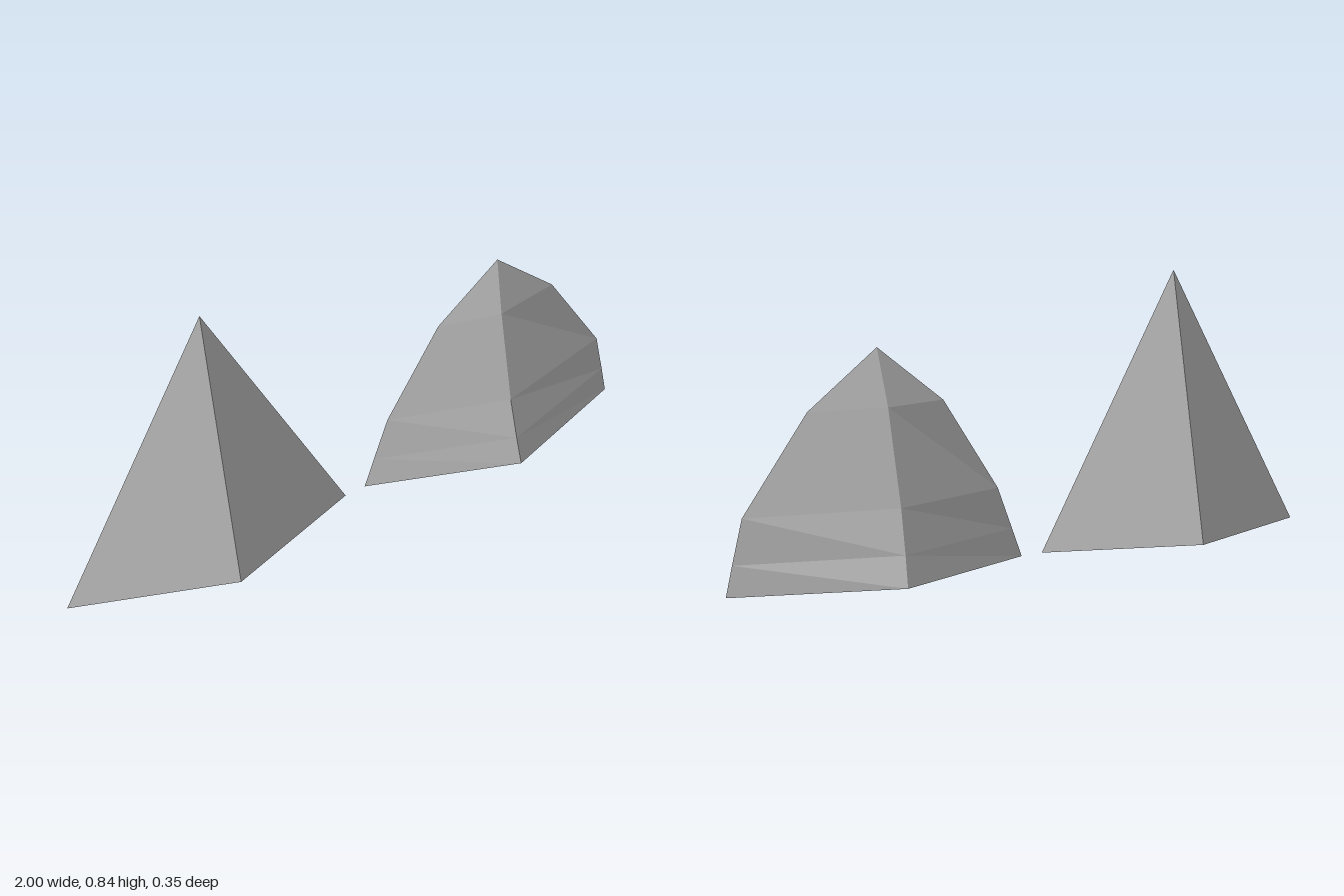
import * as THREE from 'three';

// Lofts four-cornered rings up to an apex.
// Each ring: [y, leftX, rightX, ridgeX, frontZ, backZ, sideZ]
function spire(name, rings, apex) {
  const loops = rings.map(([y, l, r, m, f, b, s]) => [
    [r, y, s], [m, y, f], [l, y, s], [m, y, b],
  ]);
  const pos = [];
  const tri = (a, b, c) => pos.push(...a, ...b, ...c);

  loops.forEach((low, k) => {
    const high = loops[k + 1];
    for (let i = 0; i < 4; i++) {
      const j = (i + 1) % 4;
      if (high) {
        tri(low[i], high[i], high[j]);
        tri(low[i], high[j], low[j]);
      } else {
        tri(low[i], apex, low[j]);
      }
    }
  });

  // base
  const [r, f, l, b] = loops[0];
  tri(r, f, l);
  tri(r, l, b);

  const geo = new THREE.BufferGeometry();
  geo.setAttribute('position', new THREE.Float32BufferAttribute(pos, 3));
  geo.computeVertexNormals();
  const mesh = new THREE.Mesh(
    geo,
    new THREE.MeshStandardMaterial({ color: 0xcccccc, flatShading: true })
  );
  mesh.name = name;
  return mesh;
}

export function createModel() {
  const model = new THREE.Group();
  model.name = 'twoSpikes';

  // straight diamond-based pyramid
  model.add(spire('straightSpike', [
    [0, -1, -0.04, -0.52, 0.177, -0.171, 0.002],
  ], [-0.52, 0.837, 0.004]));

  // bulging spike with a slightly bent ridge
  model.add(spire('roundedSpike', [
    [0, 0.035, 0.995, 0.515, 0.169, -0.176, -0.004],
    [0.09, 0.07, 0.975, 0.508, 0.148, -0.15, -0.006],
    [0.22, 0.12, 0.943, 0.503, 0.114, -0.117, -0.007],
    [0.5, 0.302, 0.738, 0.505, 0.044, -0.048, -0.005],
  ], [0.515, 0.668, -0.002]));

  return model;
}
